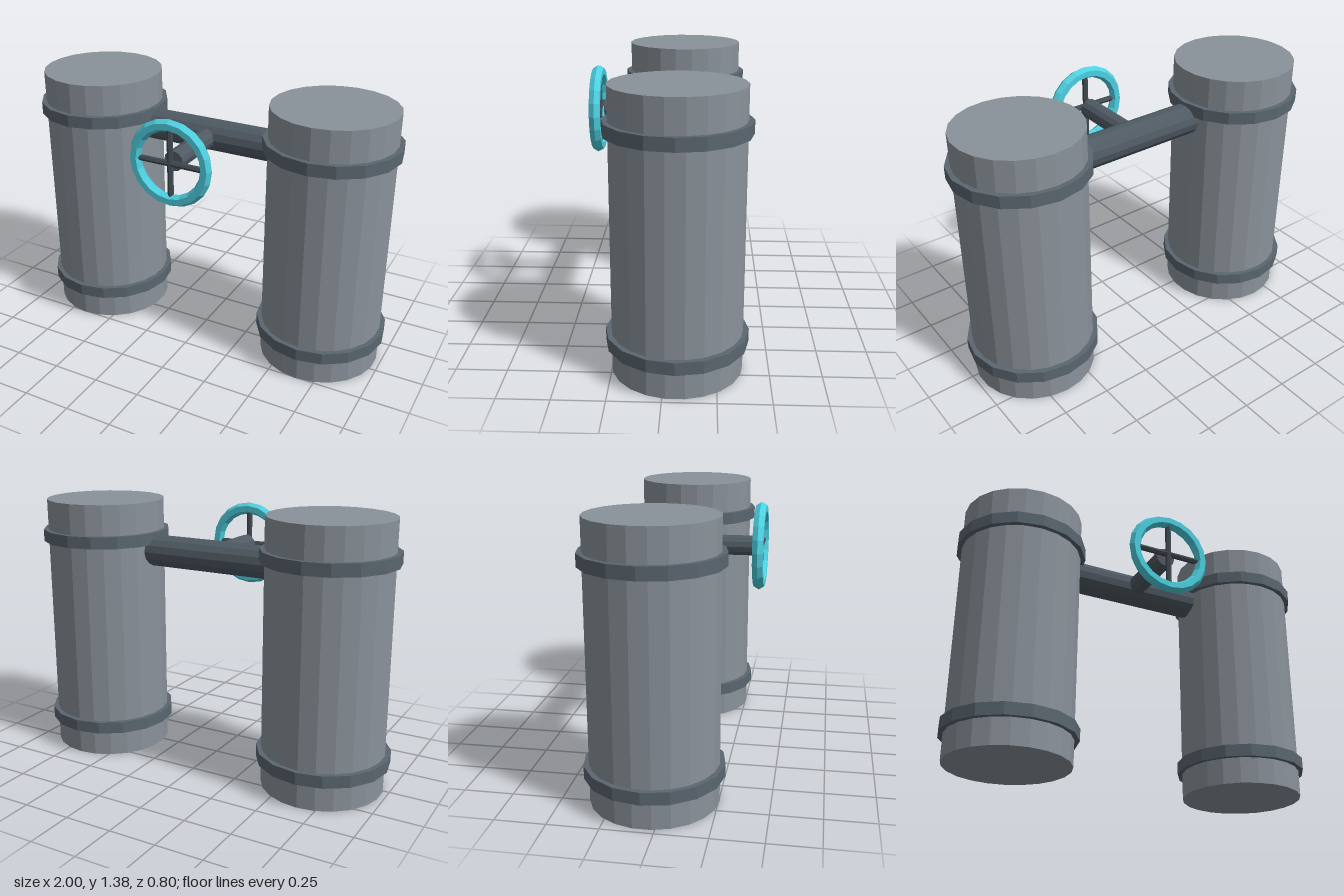
import * as THREE from 'three';

const material = (color) => new THREE.MeshStandardMaterial({ color, flatShading: true });

export function createModel() {
  const model = new THREE.Group();
  model.name = 'twinTankValve';

  const tankGrey = material(0x8a929a);
  const bandGrey = material(0x5a666f);
  const pipeGrey = material(0x4f5a63);
  const spokeGrey = material(0x424b53);
  const cyan = material(0x4dd0e1);

  const axisZ = -0.06; // depth of the tanks and the connecting pipe
  const pipeY = 1.12;

  const add = (parent, name, geometry, mat, x, y, z) => {
    const mesh = new THREE.Mesh(geometry, mat);
    mesh.name = name;
    mesh.position.set(x, y, z);
    parent.add(mesh);
    return mesh;
  };

  // Two upright tanks, each held by two bands
  for (const side of [-1, 1]) {
    const tank = new THREE.Group();
    tank.name = side > 0 ? 'leftTank' : 'rightTank';
    tank.position.set(side * 0.658, 0, axisZ);
    add(tank, 'tankBody', new THREE.CylinderGeometry(0.315, 0.315, 1.38, 22), tankGrey, 0, 0.69, 0);
    for (const [name, y] of [['lowerBand', 0.166], ['upperBand', 1.188]]) {
      add(tank, name, new THREE.CylinderGeometry(0.342, 0.342, 0.063, 16), bandGrey, 0, y, 0);
    }
    model.add(tank);
  }

  // Pipe joining the tanks
  const pipe = add(model, 'connectingPipe',
    new THREE.CylinderGeometry(0.083, 0.083, 0.72, 14), pipeGrey, 0, pipeY, axisZ);
  pipe.rotation.z = Math.PI / 2;

  // Valve stem from the pipe towards the hand wheel
  const stem = add(model, 'valveStem',
    new THREE.CylinderGeometry(0.052, 0.052, 0.4, 12), pipeGrey, 0, pipeY, 0.14);
  stem.rotation.x = Math.PI / 2;

  // Hand wheel with crossed spokes
  const wheel = new THREE.Group();
  wheel.name = 'handWheel';
  wheel.position.set(0, pipeY, 0.372);
  add(wheel, 'wheelRim', new THREE.TorusGeometry(0.194, 0.031, 6, 20), cyan, 0, 0, 0);
  for (const angle of [0, Math.PI / 2]) {
    const spoke = add(wheel, 'spoke',
      new THREE.CylinderGeometry(0.015, 0.015, 0.37, 6), spokeGrey, 0, 0, 0);
    spoke.rotation.z = angle;
  }
  model.add(wheel);

  return model;
}
